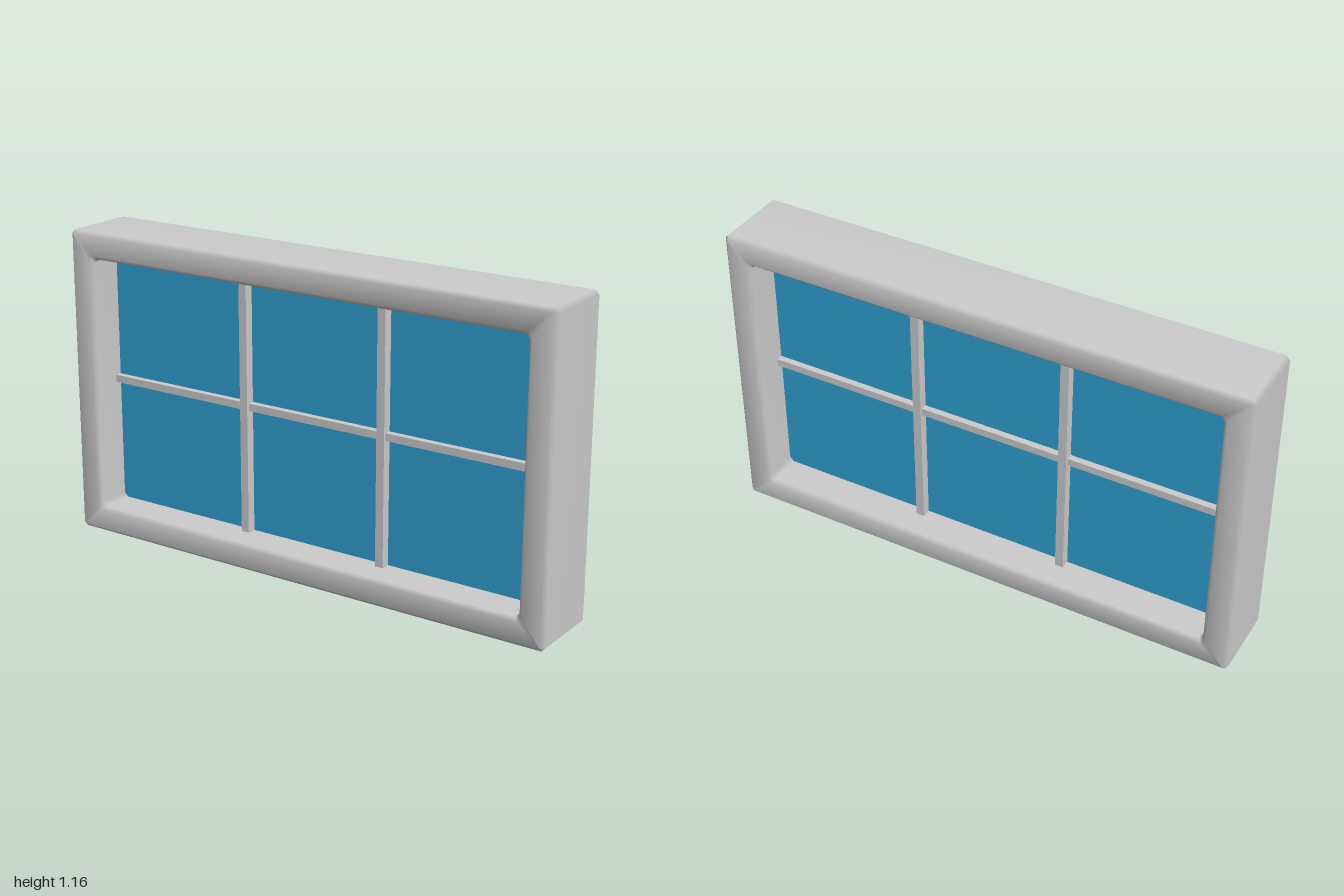
import * as THREE from 'three';

const HALF_W = 1, HALF_H = 0.5825, HALF_D = 0.15;
const RAIL = 0.1, BEVEL = 0.015;

// Rectangle loop with cut corners, counter-clockwise from the front
function ring(inset, cut) {
  const a = HALF_W - inset, b = HALF_H - inset;
  return [
    [a, -b + cut], [a, b - cut], [a - cut, b], [-a + cut, b],
    [-a, b - cut], [-a, -b + cut], [-a + cut, -b], [a - cut, -b],
  ];
}

// Bevelled rail profile swept round the rectangle, with soft shared normals
function frameGeometry() {
  const d = HALF_D, e = HALF_D - BEVEL;
  // inset, z, corner cut
  const profile = [
    [0, e, BEVEL], [BEVEL, d, 0.003],
    [RAIL - BEVEL, d, BEVEL], [RAIL, e, BEVEL],
    [RAIL, -e, BEVEL], [RAIL - BEVEL, -d, BEVEL],
    [BEVEL, -d, 0.003], [0, -e, BEVEL],
  ];
  const n = profile.length, positions = [], index = [];
  for (const [inset, z, cut] of profile) {
    for (const [x, y] of ring(inset, cut)) positions.push(x, y, z);
  }
  for (let p = 0; p < n; p++) {
    for (let s = 0; s < 8; s++) {
      const q = (p + 1) % n, t = (s + 1) % 8;
      const a = p * 8 + s, b = p * 8 + t, c = q * 8 + t, f = q * 8 + s;
      index.push(a, b, c, a, c, f);
    }
  }
  const g = new THREE.BufferGeometry();
  g.setAttribute('position', new THREE.Float32BufferAttribute(positions, 3));
  g.setIndex(index);
  g.computeVertexNormals();
  return g;
}

export function createModel() {
  const frameGrey = new THREE.MeshStandardMaterial({ color: 0xcccccc });
  frameGrey.name = 'frame grey';
  const glassBlue = new THREE.MeshStandardMaterial({ color: 0x2fa2d4 });
  glassBlue.name = 'glass blue';

  const model = new THREE.Group();
  model.name = 'window';
  const add = (name, geometry, material, x = 0) => {
    const mesh = new THREE.Mesh(geometry, material);
    mesh.name = name;
    mesh.position.set(x, HALF_H, 0);
    model.add(mesh);
  };

  const openW = 2 * (HALF_W - RAIL), openH = 2 * (HALF_H - RAIL);
  add('frame', frameGeometry(), frameGrey);
  // Pane edges are tucked just inside the frame
  add('glassPane', new THREE.BoxGeometry(openW + 0.01, openH + 0.01, 0.02), glassBlue);

  // Glazing bars; the uprights stand a little prouder than the crossbar
  add('crossbar', new THREE.BoxGeometry(openW + 0.01, 0.028, 0.07), frameGrey);
  for (const side of [-1, 1]) {
    add(side < 0 ? 'rightUpright' : 'leftUpright',
      new THREE.BoxGeometry(0.032, openH + 0.01, 0.09), frameGrey, side * 0.292);
  }
  return model;
}
